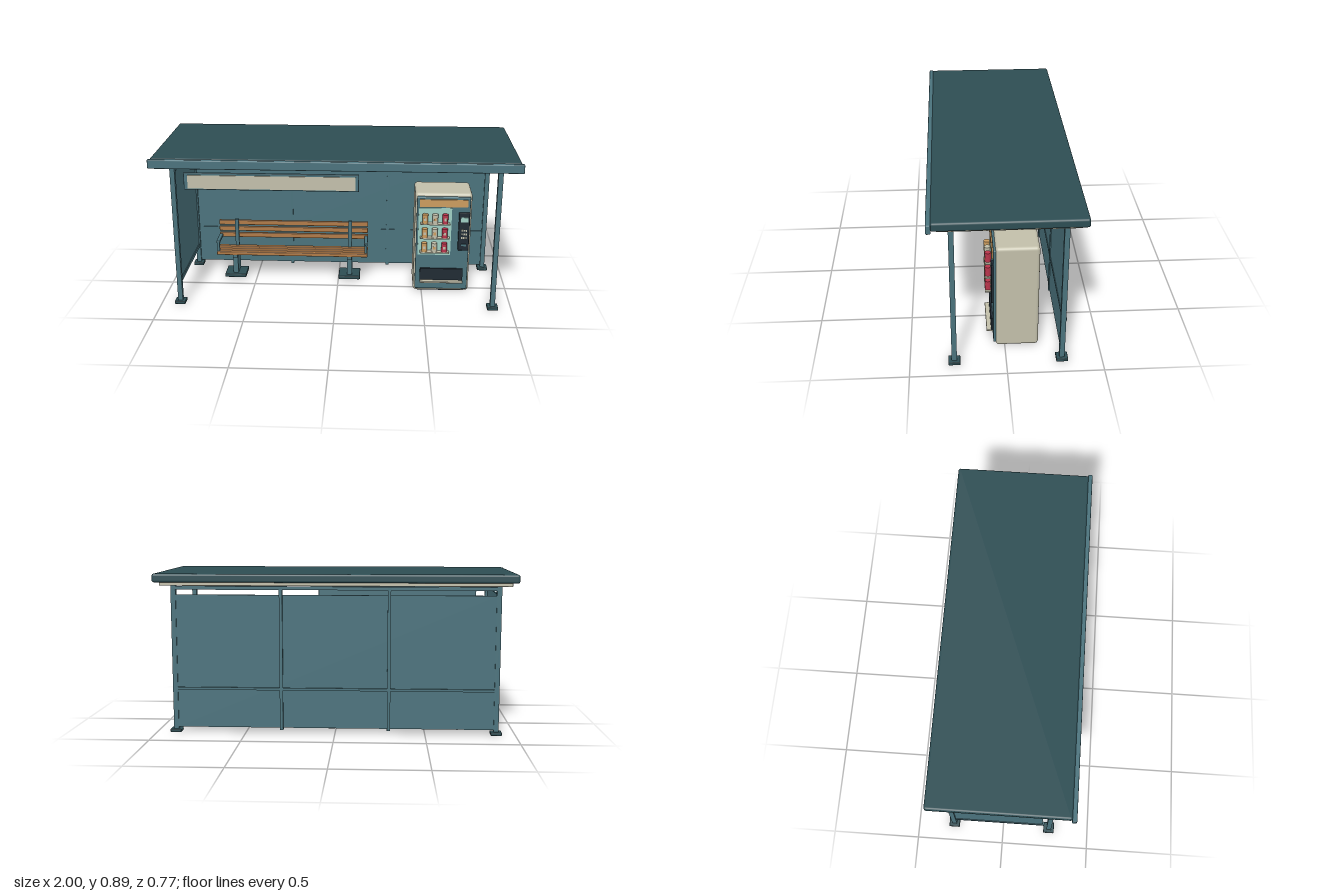
import * as THREE from 'three';
import { RoundedBoxGeometry } from 'three/addons/geometries/RoundedBoxGeometry.js';

const mat = (name, color) => {
  const m = new THREE.MeshStandardMaterial({ color });
  m.name = name;
  return m;
};
const M = {
  roof: mat('darkTeal', 0x2d4d53),
  frame: mat('frameTeal', 0x4a727c),
  cream: mat('cream', 0xc2bfaa),
  wood: mat('wood', 0xb17b47),
  mint: mat('mint', 0x9fcfc4),
  red: mat('red', 0xb8354b),
  amber: mat('amber', 0xcb9b5e),
  dark: mat('charcoal', 0x1f2a33),
};

export function createModel() {
  const model = new THREE.Group();
  model.name = 'busShelter';
  const section = (name) => {
    const g = new THREE.Group();
    g.name = name;
    model.add(g);
    return g;
  };
  // Box given by its min/max extents on each axis; r > 0 rounds the edges
  const box = (parent, name, m, [x0, x1], [y0, y1], [z0, z1], r = 0) => {
    const s = [x1 - x0, y1 - y0, z1 - z0];
    const geo = r ? new RoundedBoxGeometry(...s, 3, r) : new THREE.BoxGeometry(...s);
    const mesh = new THREE.Mesh(geo, m);
    mesh.name = name;
    mesh.position.set((x0 + x1) / 2, (y0 + y1) / 2, (z0 + z1) / 2);
    parent.add(mesh);
    return mesh;
  };
  const around = (c, w) => [c - w / 2, c + w / 2];

  // Roof, gutter, ceiling and lamps
  const roof = section('roof');
  box(roof, 'roofSlab', M.roof, [-0.99, 0.99], [0.848, 0.895], [-0.387, 0.365], 0.012);
  box(roof, 'gutter', M.frame, [-1, 1], [0.841, 0.891], [0.362, 0.387], 0.006);
  box(roof, 'ceiling', M.cream, [-0.957, 0.957], [0.828, 0.85], [-0.355, 0.337], 0.004);
  for (const x of [-0.583, 0, 0.583]) {
    box(roof, 'lampHousing', M.roof, around(x, 0.305), [0.81, 0.829], [-0.042, 0.024], 0.006);
    box(roof, 'lampLens', M.amber, around(x, 0.27), [0.803, 0.811], [-0.034, 0.016]);
  }

  // Corner posts with feet
  const frame = section('frame');
  for (const x of [-0.893, 0.893]) {
    for (const z of [-0.29, 0.27]) {
      box(frame, 'post', M.frame, around(x, 0.027), [0.015, 0.83], around(z, 0.027));
      box(frame, 'postFoot', M.roof, around(x, 0.062), [0.002, 0.02], around(z, 0.062), 0.004);
    }
  }

  // Back wall
  box(frame, 'backPanel', M.frame, [-0.885, 0.885], [0.03, 0.775], around(-0.293, 0.01));
  box(frame, 'topRail', M.frame, [-0.893, 0.893], [0.803, 0.822], around(-0.293, 0.022));
  box(frame, 'midRail', M.frame, [-0.893, 0.893], [0.244, 0.258], around(-0.296, 0.024));
  for (const x of [-0.298, 0.298]) {
    box(frame, 'mullion', M.frame, around(x, 0.018), [0.02, 0.82], around(-0.296, 0.028));
  }

  // Closed end wall
  box(frame, 'sidePanel', M.frame, around(-0.893, 0.01), [0.14, 0.78], [-0.28, 0.228]);
  box(frame, 'sideRail', M.frame, around(-0.893, 0.02), [0.125, 0.146], [-0.28, 0.24]);

  // Name board under the front edge
  const board = section('signBoard');
  box(board, 'boardFrame', M.frame, [-0.83, 0.13], [0.696, 0.793], [0.279, 0.294], 0.004);
  box(board, 'boardFace', M.cream, [-0.808, 0.112], [0.704, 0.78], [0.289, 0.298]);

  // Bench
  const bench = section('bench');
  const span = [-0.74, 0.177];
  for (let i = 0; i < 4; i++) {
    box(bench, 'seatSlat', M.wood, span, [0.15, 0.172], around(-0.098 - i * 0.0318, 0.027), 0.004);
  }
  for (const y of [0.235, 0.276, 0.316]) {
    box(bench, 'backSlat', M.wood, span, around(y, 0.029), [-0.225, -0.207], 0.004);
  }
  for (const x of [-0.63, 0.067]) {
    box(bench, 'benchFoot', M.roof, around(x, 0.13), [0.006, 0.028], [-0.207, -0.078], 0.005);
    box(bench, 'pedestal', M.frame, around(x, 0.03), [0.025, 0.135], [-0.2, -0.1]);
    box(bench, 'seatBearer', M.frame, around(x, 0.026), [0.132, 0.151], [-0.212, -0.088]);
    box(bench, 'backUpright', M.frame, around(x, 0.022), [0.132, 0.34], [-0.212, -0.196]);
  }
  for (const x of [-0.73, 0.166]) {
    box(bench, 'armrest', M.frame, around(x, 0.022), [0.225, 0.241], [-0.21, -0.085], 0.004);
    box(bench, 'armPost', M.frame, around(x, 0.014), [0.165, 0.23], around(-0.1, 0.014));
  }

  // Vending machine
  const machine = section('vendingMachine');
  box(machine, 'cabinet', M.cream, [0.45, 0.775], [0.004, 0.612], [-0.178, 0.048], 0.018);
  box(machine, 'cabinetBase', M.dark, [0.475, 0.75], [0.001, 0.006], [0.0, 0.035]);
  box(machine, 'door', M.frame, [0.459, 0.766], [0.02, 0.594], [0.042, 0.06], 0.006);
  box(machine, 'header', M.amber, [0.475, 0.75], [0.536, 0.58], [0.059, 0.067]);
  box(machine, 'displayWindow', M.mint, [0.47, 0.66], [0.24, 0.53], [0.059, 0.066]);

  // Shelves with three cans each
  const canGeo = new THREE.CylinderGeometry(0.0165, 0.0165, 0.054, 20);
  const canMats = [M.amber, M.cream, M.red];
  for (const y of [0.268, 0.356, 0.443]) {
    box(machine, 'shelf', M.cream, [0.482, 0.65], [y - 0.007, y], [0.062, 0.098]);
    canMats.forEach((m, i) => {
      const x = 0.507 + i * 0.0575;
      const can = new THREE.Mesh(canGeo, m);
      can.name = 'can';
      can.position.set(x, y + 0.027, 0.0815);
      machine.add(can);
      box(machine, 'canLabel', i === 1 ? M.amber : M.cream, around(x, 0.014), around(y + 0.027, 0.016), [0.094, 0.0985]);
    });
  }

  // Payment panel with screen, keys and slot
  box(machine, 'paymentPanel', M.dark, [0.701, 0.764], [0.272, 0.504], [0.058, 0.071], 0.003);
  box(machine, 'screen', M.mint, [0.713, 0.755], [0.448, 0.476], [0.069, 0.073]);
  for (const y of [0.352, 0.374, 0.396]) {
    for (const x of [0.722, 0.734, 0.746]) {
      box(machine, 'key', M.cream, around(x, 0.008), around(y, 0.011), [0.069, 0.074]);
    }
  }
  box(machine, 'coinSlot', M.frame, [0.72, 0.748], [0.3, 0.312], [0.069, 0.074]);

  // Collection bin and its ledge
  box(machine, 'collectionBin', M.dark, [0.487, 0.737], [0.08, 0.154], [0.058, 0.071]);
  box(machine, 'binLedge', M.cream, [0.487, 0.737], [0.071, 0.082], [0.058, 0.095], 0.003);

  return model;
}
